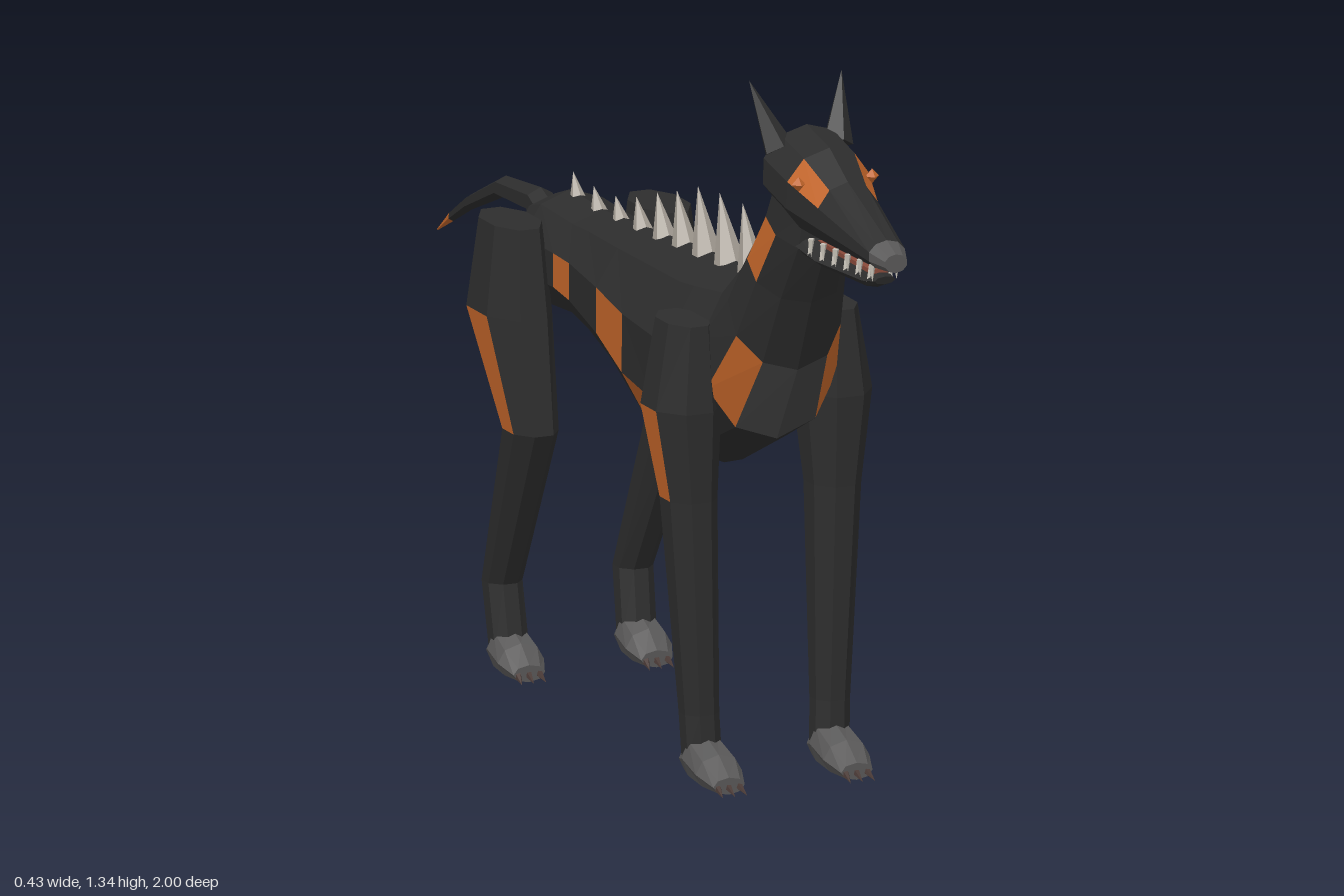
import * as THREE from 'three';

const mat = (name, color, extra = {}) => {
  const m = new THREE.MeshStandardMaterial({ color, ...extra });
  m.name = name;
  return m;
};

export function createModel() {
  const coat = mat('black coat', 0x2d2d2d);
  const tan = mat('orange markings', 0xc4662a);
  const chest = mat('grey chest', 0x434343);
  const paw = mat('grey paw', 0x595858);
  const bone = mat('bone spikes', 0xa9a298);
  const tooth = mat('teeth', 0xc9c4ba);
  const claw = mat('dark claw', 0x4a3a36);
  const tongueMat = mat('tongue', 0x8a4a3a);
  const palette = [coat, tan, chest, paw];
  const root = new THREE.Group();

  // Upright ring between a top and a bottom point [z, y], half width w
  const ring = ([tz, ty, bz, by, w], n = 10, x = 0) =>
    Array.from({ length: n }, (_, j) => {
      const t = (j / n) * Math.PI * 2, f = (1 - Math.cos(t)) / 2;
      return new THREE.Vector3(x + w * 1.04 * Math.sin(t), by + (ty - by) * f, bz + (tz - bz) * f);
    });

  // Level ring for legs, with a flat facet facing outwards
  const flatRing = ([y, cx, rx, cz, rz], s) =>
    Array.from({ length: 8 }, (_, j) => {
      const t = ((j - 0.5) / 8) * Math.PI * 2;
      return new THREE.Vector3(s * cx + rx * 1.08 * Math.cos(t), y, cz + rz * 1.08 * Math.sin(t));
    });

  // Faceted skin through rings, capped; pick(i, j) gives the palette index of a facet
  const loft = (name, rings, pick = () => 0, parent = root) => {
    const pos = [], g = new THREE.BufferGeometry();
    const add = (m, ...pts) => {
      g.addGroup(pos.length / 3, pts.length, m);
      pts.forEach(p => pos.push(p.x, p.y, p.z));
    };
    const n = rings[0].length, last = rings.length - 1;
    for (let i = 0; i < last; i++) for (let j = 0; j < n; j++) {
      const k = (j + 1) % n, a = rings[i], b = rings[i + 1];
      add(pick(i, j), a[j], a[k], b[k], a[j], b[k], b[j]);
    }
    const mid = r => r.reduce((c, p) => c.add(p), new THREE.Vector3()).divideScalar(n);
    const c0 = mid(rings[0]), c1 = mid(rings[last]);
    for (let j = 0; j < n; j++) {
      const k = (j + 1) % n;
      add(pick(0, j), c0, rings[0][k], rings[0][j]);
      add(pick(last - 1, j), c1, rings[last][j], rings[last][k]);
    }
    g.setAttribute('position', new THREE.Float32BufferAttribute(pos, 3));
    g.computeVertexNormals();
    const mesh = new THREE.Mesh(g, palette);
    mesh.name = name;
    parent.add(mesh);
    return mesh;
  };

  // Faceted cone from a base centre to a tip
  const spike = (name, base, tip, r, sides, material, parent = root) => {
    const a = new THREE.Vector3(...base), b = new THREE.Vector3(...tip), d = b.clone().sub(a);
    const g = new THREE.ConeGeometry(r, d.length(), sides).toNonIndexed();
    g.computeVertexNormals();
    const mesh = new THREE.Mesh(g, material);
    mesh.quaternion.setFromUnitVectors(new THREE.Vector3(0, 1, 0), d.normalize());
    mesh.position.copy(a.add(b).multiplyScalar(0.5));
    mesh.name = name;
    parent.add(mesh);
    return mesh;
  };

  // Torso and neck, rump to throat: top z, top y, bottom z, bottom y, half width
  const torso = [
    [-0.525, 0.835, -0.52, 0.75, 0.05], [-0.49, 0.865, -0.46, 0.69, 0.085],
    [-0.42, 0.89, -0.4, 0.67, 0.1], [-0.28, 0.885, -0.28, 0.68, 0.1],
    [-0.21, 0.89, -0.21, 0.665, 0.1], [-0.06, 0.9, -0.06, 0.625, 0.115],
    [0.09, 0.915, 0.08, 0.56, 0.13], [0.25, 0.925, 0.25, 0.54, 0.145],
    [0.31, 0.93, 0.33, 0.565, 0.145], [0.41, 0.935, 0.48, 0.64, 0.13],
    [0.455, 0.98, 0.57, 0.79, 0.105], [0.5, 1.04, 0.63, 0.93, 0.09],
    [0.55, 1.12, 0.69, 1.04, 0.077], [0.59, 1.2, 0.7, 1.1, 0.07],
  ];
  const patches = new Set(['3,2', '5,2', '6,1', '7,2', '9,1', '11,2']);
  loft('torso', torso.map(r => ring(r)), (i, j) => {
    const k = j < 5 ? j : 9 - j;
    return patches.has(i + ',' + k) ? 1 : i === 9 && k === 0 ? 2 : 0;
  });

  // Head with orange brows and a grey nose
  const head = [
    [0.535, 1.205, 0.565, 1.13, 0.055], [0.61, 1.26, 0.6, 1.1, 0.085],
    [0.71, 1.24, 0.69, 1.075, 0.082], [0.79, 1.195, 0.79, 1.07, 0.06],
    [0.96, 1.127, 0.96, 1.072, 0.036], [1, 1.11, 1, 1.075, 0.022],
  ];
  loft('head', head.map(r => ring(r)), (i, j) =>
    i === 4 ? 3 : i === 2 && (j === 3 || j === 6) ? 1 : 0);
  const jaw = [
    [0.64, 1.08, 0.66, 1.03, 0.05], [0.75, 1.058, 0.75, 1.027, 0.046],
    [0.92, 1.06, 0.92, 1.03, 0.03], [0.955, 1.058, 0.95, 1.042, 0.02],
  ];
  loft('lowerJaw', jaw.map(r => ring(r, 8)));
  const tongue = new THREE.Mesh(new THREE.BoxGeometry(0.036, 0.008, 0.24), tongueMat);
  tongue.position.set(0, 1.062, 0.81);
  tongue.name = 'tongue';
  root.add(tongue);

  for (const s of [1, -1]) {
    const side = s > 0 ? 'left' : 'right';

    // Ears and eyes
    spike(side + 'Ear', [s * 0.058, 1.22, 0.615], [s * 0.092, 1.34, 0.56], 0.03, 5, coat);
    const eye = new THREE.Mesh(new THREE.OctahedronGeometry(0.014), tan);
    eye.position.set(s * 0.073, 1.185, 0.735);
    eye.name = side + 'Eye';
    root.add(eye);

    // Teeth
    for (let i = 0; i < 6; i++) {
      const f = i / 5, z = 0.74 + 0.21 * f, x = s * (0.05 - 0.026 * f);
      spike('upperTooth', [x, 1.082, z], [x, 1.048, z], 0.007, 4, tooth);
      spike('lowerTooth', [x * 0.85, 1.045, z - 0.02], [x * 0.9, 1.078, z - 0.02], 0.006, 4, tooth);
    }

    // Legs: y, centre x, radius x, centre z, radius z
    const legs = {
      Front: {
        rings: [[0.86, 0.145, 0.043, 0.39, 0.07], [0.7, 0.15, 0.065, 0.39, 0.083],
          [0.53, 0.143, 0.047, 0.408, 0.057], [0.13, 0.13, 0.034, 0.425, 0.035],
          [0.05, 0.127, 0.034, 0.43, 0.033]],
        footZ: 0.435, size: 1,
      },
      Hind: {
        rings: [[0.865, 0.148, 0.047, -0.36, 0.085], [0.7, 0.15, 0.065, -0.36, 0.108],
          [0.49, 0.143, 0.045, -0.282, 0.06], [0.17, 0.13, 0.034, -0.435, 0.036],
          [0.05, 0.127, 0.034, -0.412, 0.033]],
        footZ: -0.415, size: 0.8,
      },
    };
    for (const [end, { rings, footZ, size }] of Object.entries(legs)) {
      const leg = new THREE.Group();
      leg.name = side + end + 'Leg';
      root.add(leg);
      const outer = s > 0 ? 0 : 4;
      loft('limb', rings.map(r => flatRing(r, s)), (i, j) => (i === 1 && j === outer ? 1 : 0), leg);

      // Paw and claws
      const x = s * 0.127;
      const foot = [[-0.04, 0.065, 0.012, 0.028], [0, 0.095, 0.002, 0.04],
        [0.07, 0.068, 0.002, 0.044], [0.115, 0.036, 0.004, 0.03]];
      loft('paw', foot.map(([dz, top, bot, w]) =>
        ring([footZ + dz * size, top, footZ + dz * size, bot, w], 8, x)), () => 3, leg);
      for (const t of [-1, 0, 1])
        spike('claw', [x + t * 0.02, 0.022, footZ + 0.1 * size],
          [x + t * 0.024, 0.006, footZ + 0.142 * size], 0.01, 5, claw, leg);
    }
  }

  // Tail from orange tip to rump: z, y, radius
  const tail = [[-1, 0.675, 0.002], [-0.93, 0.718, 0.012], [-0.85, 0.763, 0.017],
    [-0.71, 0.825, 0.022], [-0.56, 0.835, 0.027], [-0.5, 0.81, 0.03]];
  loft('tail', tail.map(([z, y, r]) => ring([z + r * 0.3, y + r, z - r * 0.3, y - r, r], 6)),
    i => (i === 0 ? 1 : 0));

  // Back spikes shrinking towards the tail: tip z, tip y, base z, base y, radius
  [[0.445, 1.07, 0.468, 0.98, 0.018], [0.33, 1.045, 0.375, 0.915, 0.03],
    [0.23, 1.04, 0.275, 0.915, 0.03], [0.135, 1.03, 0.175, 0.905, 0.029],
    [0.043, 1.0, 0.08, 0.9, 0.026], [-0.043, 0.975, -0.01, 0.895, 0.023],
    [-0.134, 0.945, -0.105, 0.885, 0.02], [-0.225, 0.925, -0.2, 0.88, 0.017],
    [-0.32, 0.92, -0.297, 0.877, 0.016], [-0.41, 0.925, -0.388, 0.877, 0.016],
  ].forEach(([tz, ty, bz, by, r]) => spike('backSpike', [0, by, bz], [0, ty, tz], r, 6, bone));

  return root;
}
